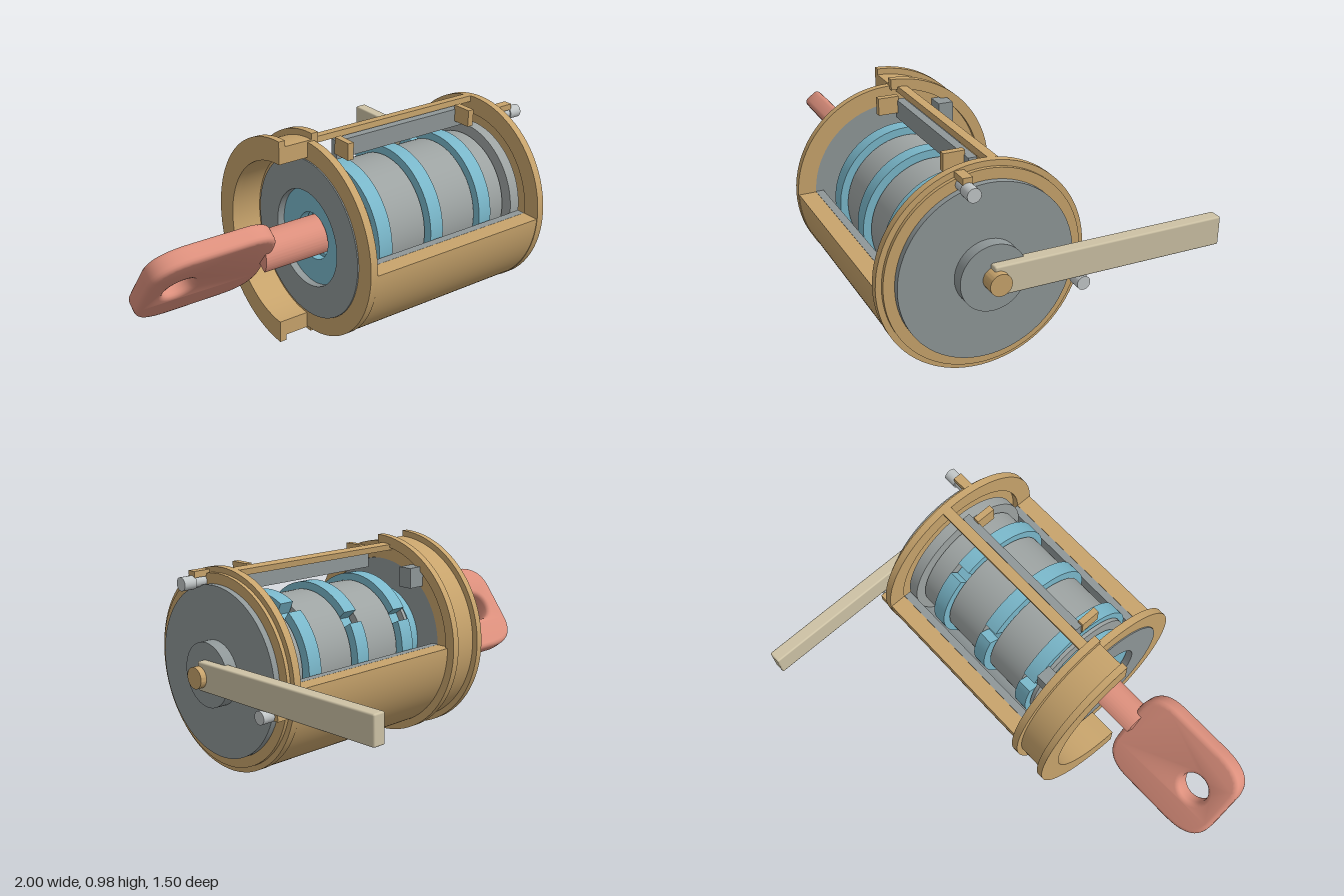
import * as THREE from 'three';
import { toCreasedNormals } from 'three/addons/utils/BufferGeometryUtils.js';
import { RoundedBoxGeometry } from 'three/addons/geometries/RoundedBoxGeometry.js';

const AXIS_Y = 0.49, AXIS_Z = 0.295;
const rad = THREE.MathUtils.degToRad;

function mat(name, color) {
  const m = new THREE.MeshStandardMaterial({ color });
  m.name = name;
  return m;
}

export function createModel() {
  const brass = mat('brass', 0xc8a46c);
  const steel = mat('steel', 0x9ea4a3);
  const darkSteel = mat('dark steel', 0x8f9798);
  const blue = mat('blue', 0x7ab8cb);
  const salmon = mat('salmon', 0xdd907d);
  const cream = mat('cream', 0xcdc2a5);
  const pale = mat('pale metal', 0xc2c7c8);

  const model = new THREE.Group();
  model.name = 'lockCylinder';
  // everything in the lock group is placed relative to the barrel axis
  const lock = new THREE.Group();
  lock.name = 'lock';
  lock.position.set(0, AXIS_Y, AXIS_Z);
  model.add(lock);

  function add(name, geo, material, parent = lock) {
    const m = new THREE.Mesh(geo, material);
    m.name = name;
    parent.add(m);
    return m;
  }

  // extrude a cross-section along x; shape x points to the back, shape y up
  function along(shape, x0, x1) {
    const g = new THREE.ExtrudeGeometry(shape, { depth: x1 - x0, bevelEnabled: false, curveSegments: 40 });
    g.rotateY(Math.PI / 2);
    g.translate(x0, 0, 0);
    return toCreasedNormals(g, 0.5);
  }

  // full ring or disc
  function ring(name, ro, ri, x0, x1, material) {
    const s = new THREE.Shape().absarc(0, 0, ro, 0, Math.PI * 2, false);
    if (ri > 0) s.holes.push(new THREE.Path().absarc(0, 0, ri, 0, Math.PI * 2, true));
    return add(name, along(s, x0, x1), material);
  }

  // part of a ring; angle 0 is the back, 90 the top, 180 the front
  function arc(name, ro, ri, a0, a1, x0, x1, material) {
    const s = new THREE.Shape();
    s.absarc(0, 0, ro, rad(a0), rad(a1), false);
    s.absarc(0, 0, ri, rad(a1), rad(a0), true);
    s.closePath();
    return add(name, along(s, x0, x1), material);
  }

  // disc with a rim notch at the given angle and a key hole
  function notchedDisc(name, r, angle, x0, x1) {
    const a = rad(angle), d = 0.09, s = new THREE.Shape();
    s.absarc(0, 0, r, a + d, a - d + Math.PI * 2, false);
    s.lineTo((r - 0.06) * Math.cos(a - d), (r - 0.06) * Math.sin(a - d));
    s.lineTo((r - 0.06) * Math.cos(a + d), (r - 0.06) * Math.sin(a + d));
    s.closePath();
    s.holes.push(new THREE.Path().absarc(0, 0, 0.1, 0, Math.PI * 2, true));
    add(name, along(s, x0, x1), blue);
  }

  // box given by its corners in model coordinates
  function box(name, x0, x1, y0, y1, z0, z1, material) {
    const g = new THREE.BoxGeometry(x1 - x0, y1 - y0, z1 - z0);
    g.translate((x0 + x1) / 2, (y0 + y1) / 2, (z0 + z1) / 2);
    return add(name, g, material, model);
  }

  // barrel: lower half shell, end rings, top rib
  arc('barrelShell', 0.452, 0.372, 180, 360, -0.13, 0.8, brass);
  ring('barrelFrontRing', 0.455, 0.372, -0.165, -0.13, brass);
  ring('barrelRearRing', 0.455, 0.372, 0.8, 0.835, brass);
  arc('topRib', 0.455, 0.427, 80, 86, -0.13, 0.8, brass);
  arc('lining', 0.371, 0.335, 180, 360, -0.165, 0.8, darkSteel);

  // half collar around the key end
  arc('collar', 0.462, 0.385, -90, 90, -0.28, -0.14, brass);
  arc('collarOuterFlange', 0.49, 0.385, -90, 90, -0.312, -0.28, brass);
  arc('collarInnerFlange', 0.49, 0.44, -90, 90, -0.145, -0.11, brass);

  // face plate and core
  ring('facePlate', 0.371, 0.225, -0.17, -0.135, darkSteel);
  ring('smallRingA', 0.24, 0.11, -0.132, -0.09, blue);
  ring('smallRingB', 0.24, 0.1, -0.082, -0.04, blue);
  ring('spacerDisc', 0.29, 0.1, -0.034, -0.016, steel);
  [[0.065, 0.267], [0.355, 0.56], [0.645, 0.74]].forEach(([a, b], i) =>
    ring('drum' + (i + 1), 0.288, 0.1, a, b, steel));
  [[-0.013, 0.058, 30], [0.276, 0.346, 37], [0.565, 0.635, 58]].forEach(([a, b, n], i) =>
    notchedDisc('codedDisc' + (i + 1), 0.32, n, a, b));
  ring('coreEndDisc', 0.332, 0.1, 0.75, 0.802, steel);
  box('stopBlock', -0.13, -0.045, 0.76, 0.855, 0.02, 0.09, darkSteel);

  // side bar under the rib, with its two brackets
  box('sideBar', -0.02, 0.73, 0.835, 0.92, 0.272, 0.31, darkSteel);
  for (const x of [-0.028, 0.662]) box('sideBarBracket', x, x + 0.03, 0.862, 0.94, 0.305, 0.4, brass);

  // rear cap
  ring('rearFlange', 0.43, 0, 0.835, 0.852, brass);
  ring('rearCap', 0.383, 0, 0.852, 0.88, darkSteel);
  ring('hub', 0.145, 0, 0.88, 0.935, darkSteel);
  ring('leverPin', 0.048, 0, 0.93, 1.0, brass);

  // lever reaching backwards
  const lever = add('lever', new RoundedBoxGeometry(0.06, 0.13, 1.06, 2, 0.008), cream, model);
  lever.position.set(0.942, 0.492, -0.221);

  // two stop pins with holding tabs, a quarter turn apart
  for (const a of [105, -14]) {
    const pin = new THREE.Group();
    pin.name = 'stopPin';
    pin.position.set(0, 0.4 * Math.sin(rad(a)), -0.4 * Math.cos(rad(a)));
    lock.add(pin);
    const thin = new THREE.CylinderGeometry(0.024, 0.024, 0.06, 24).rotateZ(Math.PI / 2).translate(0.88, 0, 0);
    const head = new THREE.CylinderGeometry(0.03, 0.03, 0.062, 24).rotateZ(Math.PI / 2).translate(0.939, 0, 0);
    add('pinStem', thin, pale, pin);
    add('pinHead', head, pale, pin);
    const tab = add('pinTab', new THREE.BoxGeometry(0.08, 0.028, 0.042), brass, pin);
    const top = a > 90;
    tab.position.set(0.873, top ? 0.036 : 0, top ? 0 : -0.034);
    if (!top) tab.rotation.x = Math.PI / 2;
  }

  // key: tilted about the barrel axis
  const key = new THREE.Group();
  key.name = 'key';
  key.rotation.x = 0.645;
  lock.add(key);

  const b = 0.022, L = -1 + b, R = -0.4 - b, H = 0.236 - b;
  const bow = new THREE.Shape();
  bow.moveTo(L + 0.17, -H);
  bow.lineTo(R - 0.14, -H);
  bow.bezierCurveTo(R - 0.04, -H, R, -H + 0.04, R, -H + 0.12);
  bow.lineTo(R, H - 0.12);
  bow.bezierCurveTo(R, H - 0.04, R - 0.04, H, R - 0.14, H);
  bow.lineTo(L + 0.17, H);
  bow.bezierCurveTo(L + 0.05, H, L, H - 0.04, L, H - 0.12);
  bow.lineTo(L, -H + 0.12);
  bow.bezierCurveTo(L, -H + 0.04, L + 0.05, -H, L + 0.17, -H);
  bow.holes.push(new THREE.Path().absarc(-0.83, 0, 0.073 + b, 0, Math.PI * 2, true));
  const bowGeo = new THREE.ExtrudeGeometry(bow, {
    depth: 0.09 - 2 * b, bevelThickness: b, bevelSize: b, bevelSegments: 3, curveSegments: 16,
  });
  bowGeo.translate(0, 0, -0.045 + b);
  add('keyBow', toCreasedNormals(bowGeo, 0.7), salmon, key);

  // half-round blade
  const half = new THREE.Shape().absarc(0, 0, 0.092, 0, Math.PI, false);
  half.closePath();
  add('keyBlade', along(half, -0.44, 0.74), salmon, key);

  return model;
}
